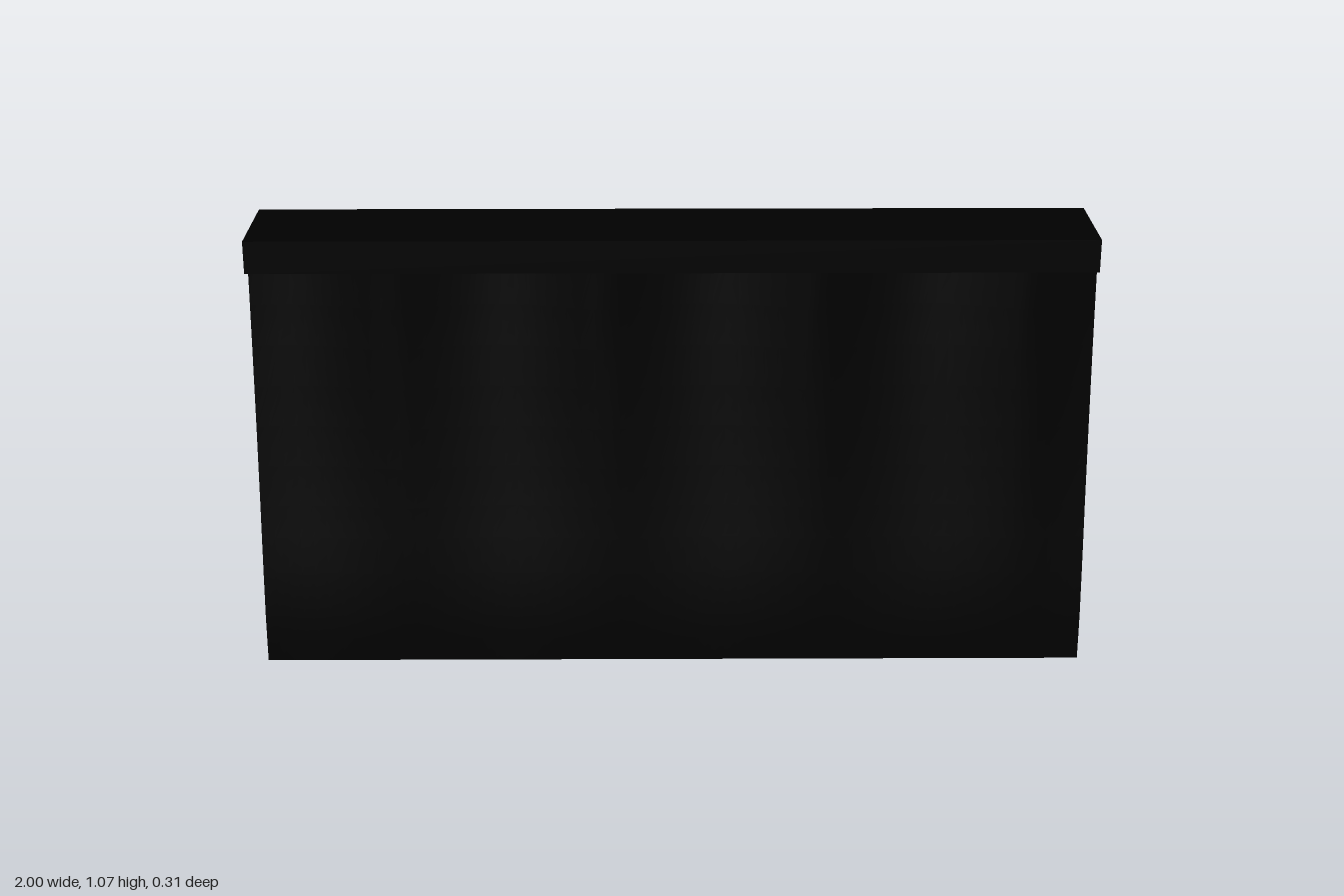
import * as THREE from 'three';
import { toCreasedNormals } from 'three/addons/utils/BufferGeometryUtils.js';

export function createModel() {
  const group = new THREE.Group();
  group.name = 'parapetWall';
  const material = new THREE.MeshStandardMaterial({ color: 0x000000 });

  // Wall cross-section as [z, y]: battered front, nearly straight back
  const front = [[0.151, 0], [0.153, 0.06], [0.154, 0.12], [0.148, 0.23], [0.142, 0.32], [0.136, 0.4], [0.131, 0.5],
    [0.126, 0.6], [0.123, 0.7], [0.12, 0.8], [0.118, 0.9], [0.117, 1.008]];
  const back = [[-0.151, 1.008], [-0.154, 0.9], [-0.154, 0.12], [-0.151, 0]];
  const shape = new THREE.Shape([...front, ...back].map(([z, y]) => new THREE.Vector2(-z, y)));
  const wallGeometry = new THREE.ExtrudeGeometry(shape, { depth: 2, steps: 64, bevelEnabled: false });
  wallGeometry.translate(0, 0, -1).rotateY(Math.PI / 2);

  // Broad hollows between narrow crests in the front face: none at the foot, deepest under the coping
  const p = wallGeometry.attributes.position;
  for (let i = 0; i < p.count; i++) {
    if (p.getZ(i) < 0) continue;
    const y = p.getY(i);
    const crest = 0.37 - 0.04 * Math.min(1, y / 0.8);
    const hollow = Math.abs(Math.sin((p.getX(i) - crest) * Math.PI * 2)) ** 1.2;
    p.setZ(i, p.getZ(i) - 0.053 * y * hollow);
  }
  const wall = new THREE.Mesh(toCreasedNormals(wallGeometry, 0.5), material);
  wall.name = 'wall';
  group.add(wall);

  // Coping slab overhanging the front and stepped in at the back
  const coping = new THREE.Mesh(new THREE.BoxGeometry(1.997, 0.079, 0.263), material);
  coping.name = 'coping';
  coping.position.set(-0.0015, 1.0325, -0.0055);
  group.add(coping);

  return group;
}
